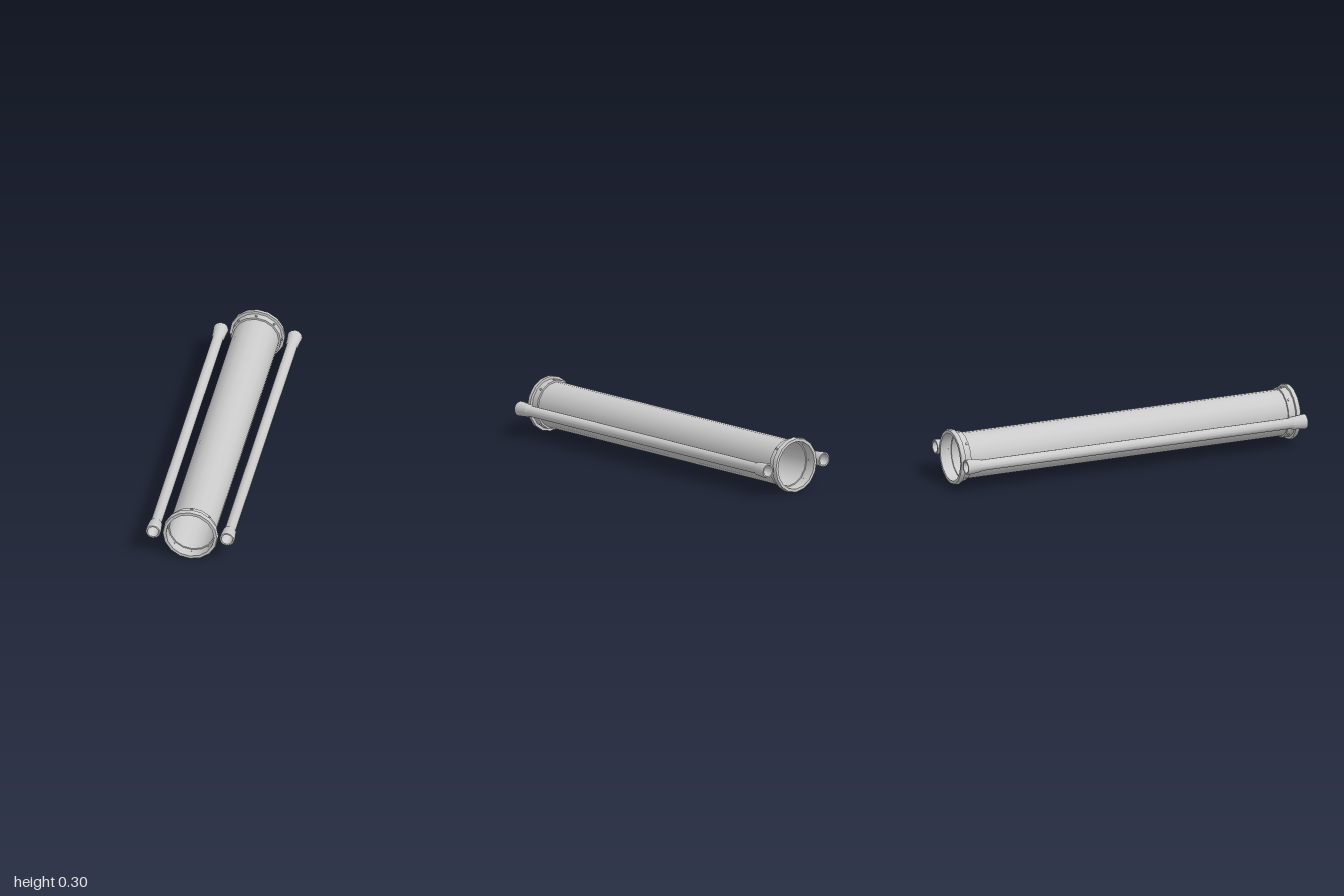
import * as THREE from 'three';
import { toCreasedNormals } from 'three/addons/utils/BufferGeometryUtils.js';

const material = new THREE.MeshStandardMaterial({ color: 0xcccccc });
const AXIS_Y = 0.151;

// Closed [radius, z] profile turned around the z axis; smooth around, sharp at steps
function turned(name, profile, sides) {
  const points = [...profile, profile[0]].map(([r, z]) => new THREE.Vector2(r, z));
  const geometry = new THREE.LatheGeometry(points, sides).rotateX(Math.PI / 2);
  const mesh = new THREE.Mesh(toCreasedNormals(geometry, 0.6), material);
  mesh.name = name;
  return mesh;
}

// Extends the profile of the front half to both ends
const bothEnds = (half) => [...half, ...half.map(([r, z]) => [r, -z]).reverse()];

// Flanged end collar with bolts through its sleeve
function endCollar(name) {
  const collar = new THREE.Group();
  collar.name = name;
  collar.add(turned('flange', [
    [0.124, 0.935], [0.136, 0.935], [0.136, 0.975], [0.151, 0.975], [0.151, 0.994],
    [0.147, 1], [0.131, 1], [0.131, 0.938], [0.124, 0.938],
  ], 16));
  const boltGeometry = new THREE.CylinderGeometry(0.006, 0.006, 0.012, 8);
  for (let i = 0; i < 8; i++) {
    const angle = i * Math.PI / 4;
    const bolt = new THREE.Mesh(boltGeometry, material);
    bolt.name = 'bolt';
    bolt.position.set(Math.sin(angle) * 0.135, Math.cos(angle) * 0.135, 0.949);
    bolt.rotation.z = -angle;
    collar.add(bolt);
  }
  return collar;
}

export function createModel() {
  const model = new THREE.Group();
  model.name = 'pipeAssembly';

  // Large central pipe
  model.add(turned('mainPipe', bothEnds([[0.126, 0.938], [0.124, 0.938]]), 16));
  const front = endCollar('frontCollar');
  const back = endCollar('backCollar');
  back.rotation.y = Math.PI;
  model.add(front, back);

  // Slim side pipes with flared ends
  const sideProfile = bothEnds([
    [0.03, 0.91], [0.035, 0.92], [0.04, 0.975], [0.041, 0.98], [0.041, 0.996],
    [0.039, 1], [0.031, 1], [0.031, 0.97], [0.028, 0.965],
  ]);
  for (const side of [1, -1]) {
    const pipe = turned(side > 0 ? 'leftSidePipe' : 'rightSidePipe', sideProfile, 12);
    pipe.position.x = side * 0.202;
    model.add(pipe);
  }

  for (const part of model.children) part.position.y = AXIS_Y;
  return model;
}
